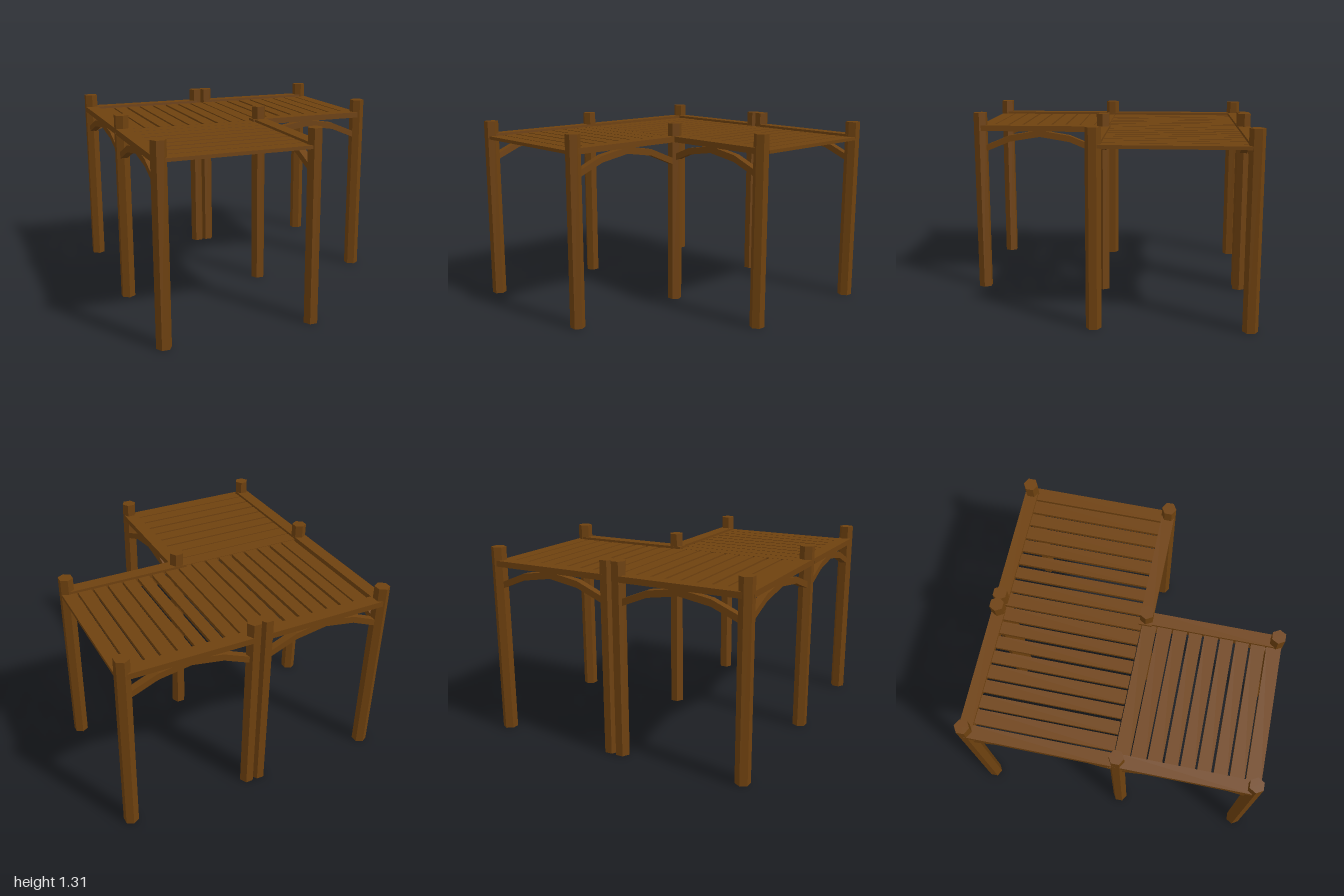
import * as THREE from 'three';

export function createModel() {
  const model = new THREE.Group();
  model.name = 'pergola';
  const wood = new THREE.MeshStandardMaterial({ color: 0x6e410f, flatShading: true });
  wood.name = 'brown wood';

  const add = (name, geometry) => {
    const mesh = new THREE.Mesh(geometry, wood);
    mesh.name = name;
    model.add(mesh);
    return mesh;
  };
  // box given by its extents
  const box = (name, x0, x1, y0, y1, z0, z1) =>
    add(name, new THREE.BoxGeometry(x1 - x0, y1 - y0, z1 - z0))
      .position.set((x0 + x1) / 2, (y0 + y1) / 2, (z0 + z1) / 2);

  const L = -0.912, R = 0.915, B = -0.949, M = 0.06, F = 0.955, C = 0.1;

  // hexagonal posts: x, z, corners pointing along x (true) or z (false)
  const posts = [
    [L, B, false], [-0.04, B, true], [0.045, B, true], [R, B, false],
    [L, M, false], [C, M, true], [R, M, false],
    [L, F, true], [C, F, true],
  ];
  for (const [x, z, alongX] of posts) {
    const post = add('post', new THREE.CylinderGeometry(0.051, 0.051, 1.31, 6));
    post.position.set(x, 0.655, z);
    post.rotation.y = alongX ? Math.PI / 2 : 0;
  }

  // a rail with a segmented arched brace beneath it
  const rail = (axis, at, from, to) => {
    const w = 0.045;
    if (axis === 'x') box('rail', from, to, 1.18, 1.22, at - w, at + w);
    else box('rail', at - w, at + w, 1.18, 1.22, from, to);
    const half = (to - from) / 2, mid = (from + to) / 2, depth = 0.05;
    const low = [[-1, 1.012], [-0.5, 1.102], [0, 1.138], [0.5, 1.102], [1, 1.012]];
    const points = [...low, ...low.map(([u, y]) => [u, y + 0.046]).reverse()];
    const shape = new THREE.Shape(points.map(([u, y]) => new THREE.Vector2(u * half, y)));
    const geometry = new THREE.ExtrudeGeometry(shape, { depth, bevelEnabled: false });
    geometry.translate(0, 0, -depth / 2);
    const brace = add('archedBrace', geometry);
    if (axis === 'x') brace.position.set(mid, 0, at);
    else {
      brace.rotation.y = Math.PI / 2;
      brace.position.set(at, 0, mid);
    }
  };
  rail('x', B, L, -0.04);
  rail('x', B, 0.045, R);
  rail('x', M - 0.002, 0.045, R);
  rail('z', L, B, M);
  rail('z', L, 0.085, F);
  rail('z', C, 0.085, F);

  // roof slats of the rear bays, running front to back
  const y0 = 1.18, y1 = 1.203;
  const rearWidths = [0.1, 0.086, 0.086, 0.094, 0.086, 0.086, 0.086, 0.095, 0.095,
    0.09, 0.082, 0.082, 0.09, 0.095, 0.09, 0.095, 0.095];
  rearWidths.forEach((w, i) => {
    const x = -0.8 + 0.1069 * i;
    box('rearSlat', x - w / 2, x + w / 2, y0, y1, -0.93, 0.032);
  });

  // roof slats of the front bay, running side to side
  const frontWidths = [0.1, 0.1, 0.095, 0.09, 0.095, 0.09, 0.09, 0.095, 0.1];
  frontWidths.forEach((w, i) => {
    const z = 0.087 + 0.1069 * i;
    box('frontSlat', -0.89, 0.07, y0, y1, z - w / 2, z + w / 2);
  });

  return model;
}
